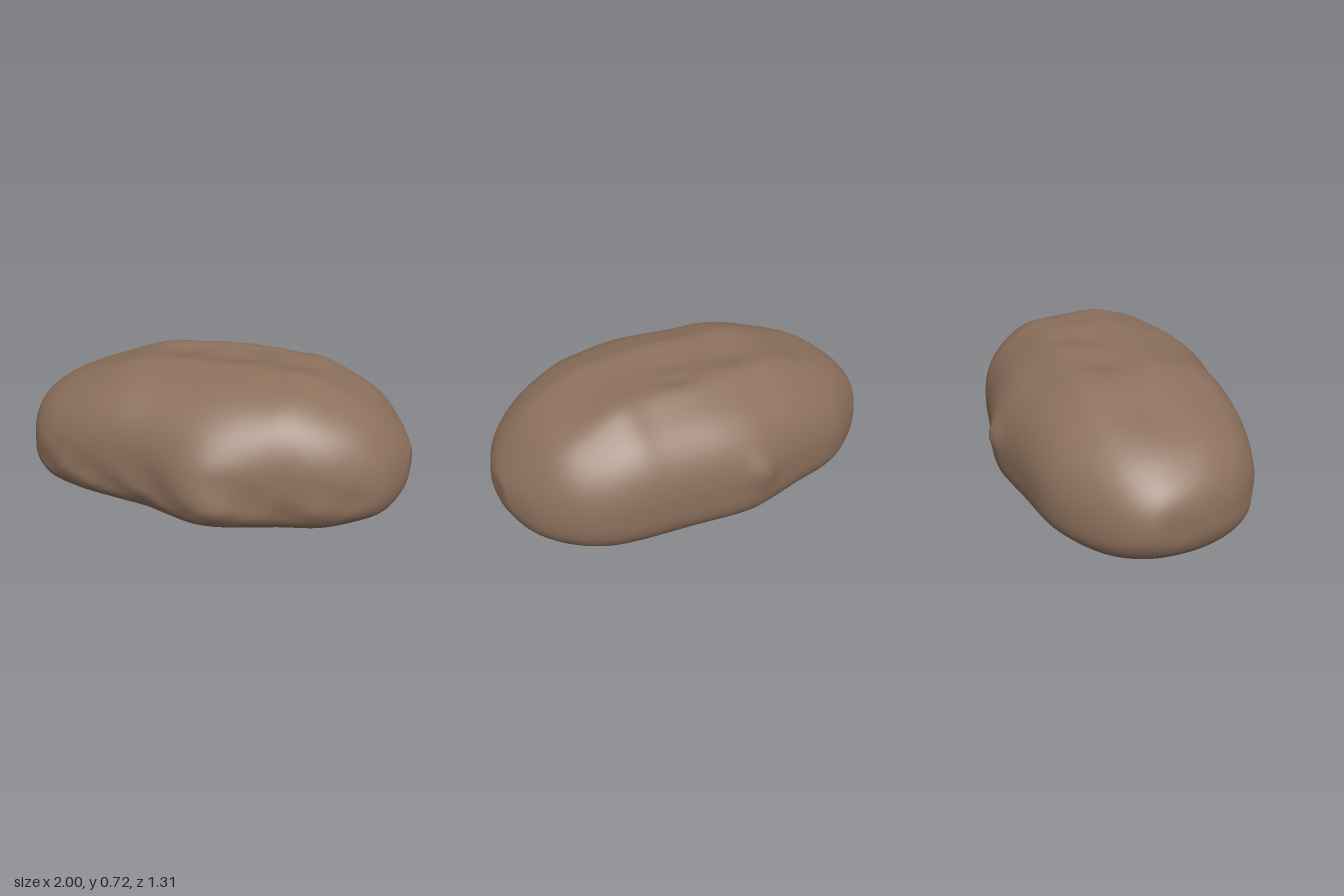
import * as THREE from 'three';

const crust = new THREE.MeshStandardMaterial({ color: 0x8c705c });
crust.name = 'brown crust';

// Stations along the length: x, top, bottom, back z, front z
const stations = [
  [-1, 0.28, 0.2, -0.16, -0.02],
  [-0.98, 0.365, 0.12, -0.235, 0.11],
  [-0.9, 0.46, 0.04, -0.34, 0.285],
  [-0.8, 0.53, 0, -0.42, 0.385],
  [-0.6, 0.61, -0.008, -0.53, 0.475],
  [-0.34, 0.685, -0.01, -0.58, 0.52],
  [-0.17, 0.69, -0.01, -0.61, 0.535],
  [-0.07, 0.695, -0.01, -0.625, 0.547],
  [0.03, 0.7, -0.01, -0.62, 0.553],
  [0.12, 0.705, -0.01, -0.605, 0.555],
  [0.25, 0.705, -0.01, -0.58, 0.55],
  [0.38, 0.7, -0.01, -0.56, 0.535],
  [0.48, 0.7, -0.01, -0.545, 0.51],
  [0.65, 0.645, -0.005, -0.5, 0.465],
  [0.8, 0.575, 0.025, -0.42, 0.385],
  [0.92, 0.46, 0.075, -0.29, 0.285],
  [0.98, 0.375, 0.145, -0.16, 0.15],
  [1, 0.32, 0.22, -0.07, 0.05],
];

const bump = (v, centre, width) => Math.exp(-(((v - centre) / width) ** 2));
const power = (v, e) => Math.sign(v) * Math.abs(v) ** e;

function loafGeometry(rows = 80, sides = 88) {
  const curve = new THREE.CubicInterpolant(
    stations.map((s) => Math.asin(s[0])), stations.flatMap((s) => s.slice(1)), 4, new Float32Array(4));
  const positions = [], index = [];
  const ends = [];

  for (let i = 0; i <= rows; i++) {
    const t = (i / rows - 0.5) * Math.PI;
    const x = Math.sin(t);
    const [top, bottom, back, front] = curve.evaluate(t);
    const waist = bottom + (top - bottom) * 0.38;
    const mid = (front + back) / 2, half = (front - back) / 2;
    const body = Math.max(0, Math.cos(t)) ** 0.8;
    if (i === 0 || i === rows) ends.push([x, waist, mid]);

    for (let j = 0; j < sides; j++) {
      const a = (j / sides) * Math.PI * 2;
      const c = Math.cos(a), s = Math.sin(a);
      // Domed above and fuller in front, flatter below, rounder towards the ends
      const dome = 2.05 + (c > 0 ? 0.6 : 0.2) * body;
      const e = 2 / (s > 0 ? dome : 2 + 1.25 * body ** 2);
      let z = mid + half * power(c, e);
      let y = waist + (s > 0 ? top - waist : waist - bottom) * power(s, e);

      if (s > 0.3) {
        // Split crust: two ridges with a shallow uneven groove between them
        const along = bump(x, 0.1, 0.7) * body;
        const groove = bump(z, -0.08 + 0.03 * Math.sin(5 * x), 0.1);
        y += along * (0.016 * bump(z, 0.1, 0.06) + 0.025 * bump(z, -0.27, 0.07));
        y -= along * groove * (0.018 + 0.01 * Math.sin(17 * x + 9 * z));
        y -= 0.025 * bump(x, 0.15, 0.09) * bump(z, -0.22, 0.04);
      }
      if (c > 0) {
        // Bulge and lumpy lower edge on the front
        z += 0.105 * bump(x, 0.14, 0.22) * bump(y, 0.23, 0.28) * Math.sqrt(c);
        const low = bump(y, 0.2, 0.08) * c * body;
        z += low * 0.008 * (Math.sin(15 * x + 22 * y) + 0.6 * Math.sin(29 * x - 27 * y));
        z -= 0.012 * bump(y, 0.3, 0.06) * bump(x, 0.25, 0.14) * c;
      } else {
        // Soft peak on the back
        z -= 0.03 * bump(x, -0.07, 0.07) * bump(y, 0.33, 0.08);
      }
      positions.push(x, Math.max(0, y), z);
    }
  }

  for (let i = 0; i < rows; i++) {
    for (let j = 0; j < sides; j++) {
      const k = (j + 1) % sides;
      const a = i * sides + j, b = i * sides + k;
      index.push(a, a + sides, b, b, a + sides, b + sides);
    }
  }
  // Close both ends with fans
  const first = positions.length / 3;
  positions.push(...ends[0], ...ends[1]);
  for (let j = 0; j < sides; j++) {
    const k = (j + 1) % sides, last = rows * sides;
    index.push(first, j, k, first + 1, last + k, last + j);
  }

  const geometry = new THREE.BufferGeometry();
  geometry.setAttribute('position', new THREE.Float32BufferAttribute(positions, 3));
  geometry.setIndex(index);
  geometry.computeVertexNormals();
  return geometry;
}

export function createModel() {
  const group = new THREE.Group();
  group.name = 'loaf';
  const loaf = new THREE.Mesh(loafGeometry(), crust);
  loaf.name = 'loafBody';
  group.add(loaf);
  return group;
}
